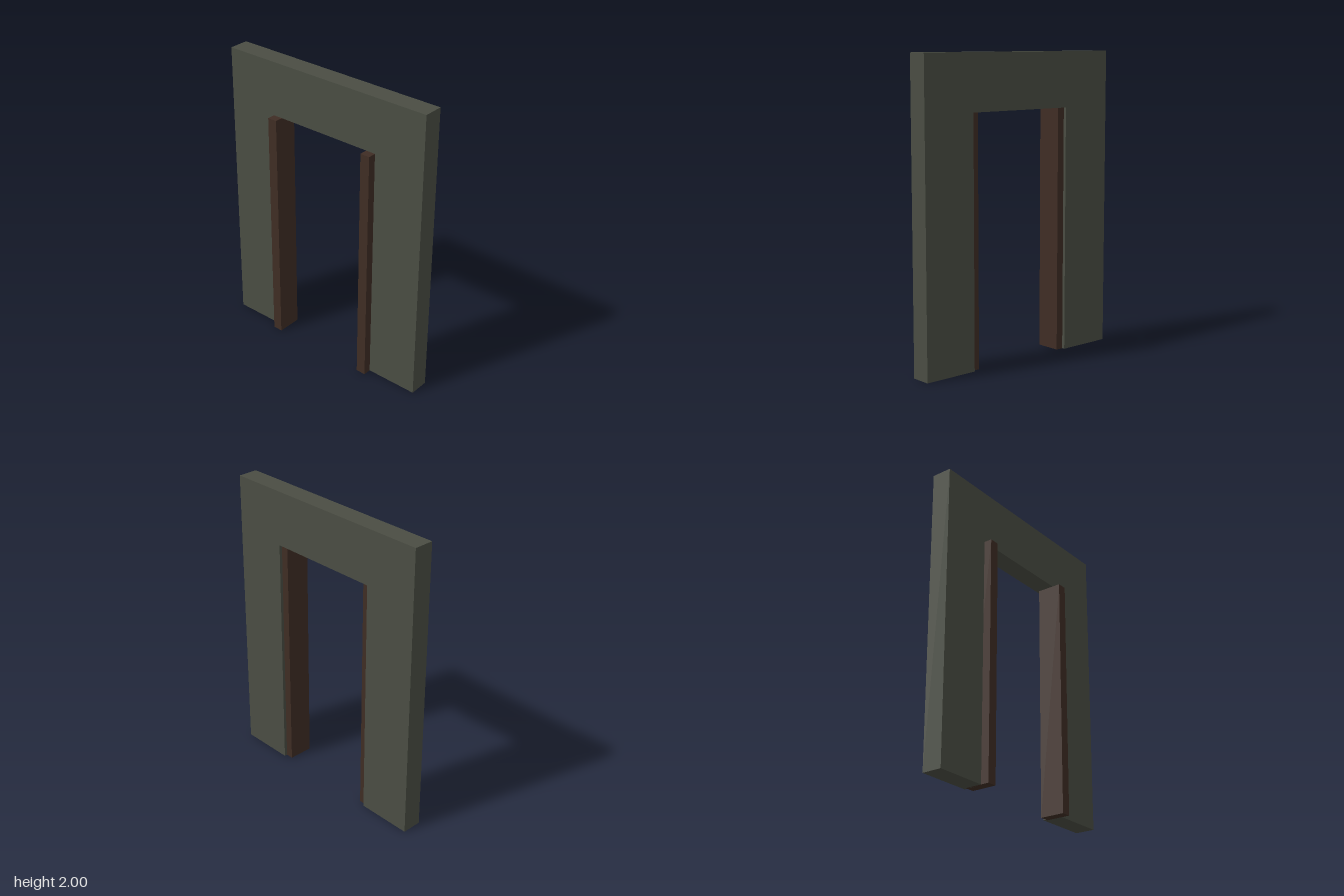
import * as THREE from 'three';

export function createModel() {
  const model = new THREE.Group();
  model.name = 'doorway';

  const stone = new THREE.MeshStandardMaterial({ color: 0x4a4d43 });
  stone.name = 'grey green wall';
  const wood = new THREE.MeshStandardMaterial({ color: 0x3f2d24 });
  wood.name = 'dark brown wood';

  const halfWidth = 0.77, height = 2, halfOpening = 0.395, openingTop = 1.633;
  const wallBack = -0.095, wallFront = 0.04;

  // Wall: one slab with a doorway cut up from the floor
  const outline = new THREE.Shape([
    [-halfWidth, 0], [-halfOpening, 0], [-halfOpening, openingTop],
    [halfOpening, openingTop], [halfOpening, 0], [halfWidth, 0],
    [halfWidth, height], [-halfWidth, height],
  ].map(([x, y]) => new THREE.Vector2(x, y)));
  const wallGeometry = new THREE.ExtrudeGeometry(outline, { depth: wallFront - wallBack, bevelEnabled: false });
  wallGeometry.translate(0, 0, wallBack);
  const wall = new THREE.Mesh(wallGeometry, stone);
  wall.name = 'wall';
  model.add(wall);

  // Door posts: slightly recessed at the back, standing proud at the front
  const inner = 0.343, outer = 0.41, postBack = -0.075, postFront = 0.095;
  for (const side of [-1, 1]) {
    const post = new THREE.Mesh(
      new THREE.BoxGeometry(outer - inner, openingTop, postFront - postBack), wood);
    post.position.set(side * (inner + outer) / 2, openingTop / 2, (postFront + postBack) / 2);
    post.name = side > 0 ? 'leftPost' : 'rightPost';
    model.add(post);
  }

  return model;
}
